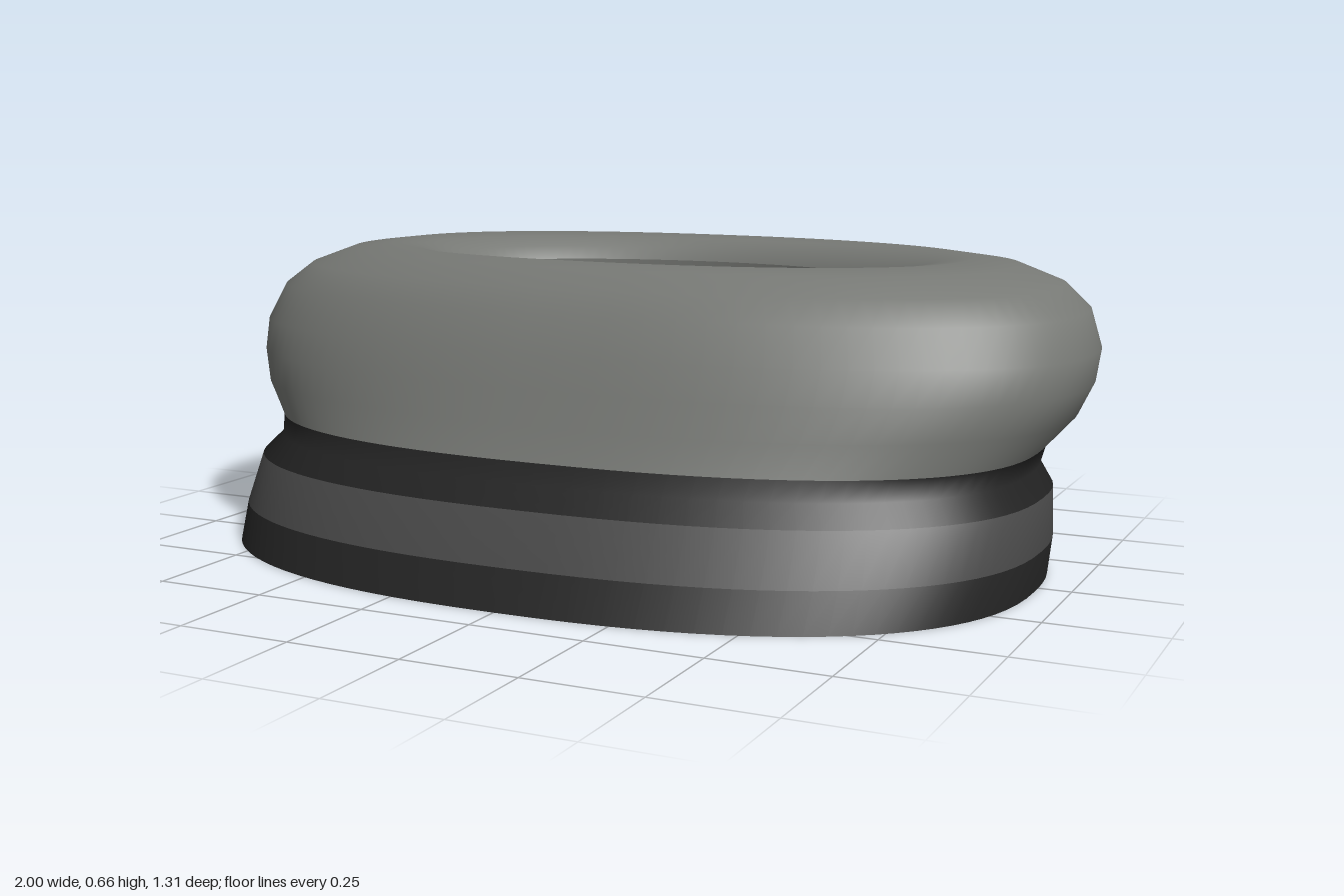
import * as THREE from 'three';

const SEGMENTS = 96;

// Lofts rings [y, halfWidth, zFront, zBack, exponent] of superellipses.
// bands lists the material index used between each pair of rings.
function loft(name, rings, materials, bands) {
  const positions = [], indices = [];
  for (const [y, halfWidth, zFront, zBack, exponent] of rings) {
    const zMid = (zFront + zBack) / 2, halfDepth = (zFront - zBack) / 2;
    for (let s = 0; s < SEGMENTS; s++) {
      const t = (s / SEGMENTS) * Math.PI * 2;
      const c = Math.cos(t), d = Math.sin(t);
      positions.push(
        halfWidth * Math.sign(c) * Math.abs(c) ** (2 / exponent), y,
        zMid + halfDepth * Math.sign(d) * Math.abs(d) ** (2 / exponent));
    }
  }
  const geometry = new THREE.BufferGeometry();
  for (let r = 0; r < rings.length - 1; r++) {
    geometry.addGroup(indices.length, SEGMENTS * 6, bands ? bands[r] : 0);
    for (let s = 0; s < SEGMENTS; s++) {
      const a = r * SEGMENTS + s, b = r * SEGMENTS + (s + 1) % SEGMENTS;
      indices.push(a, a + SEGMENTS, b, b, a + SEGMENTS, b + SEGMENTS);
    }
  }
  geometry.setAttribute('position', new THREE.Float32BufferAttribute(positions, 3));
  geometry.setIndex(indices);
  geometry.computeVertexNormals();
  const mesh = new THREE.Mesh(geometry, materials);
  mesh.name = name;
  return mesh;
}

function material(name, color) {
  const m = new THREE.MeshStandardMaterial({ color });
  m.name = name;
  return m;
}

export function createModel() {
  const group = new THREE.Group();
  group.name = 'buttonHousing';

  const black = material('black rubber', 0x242424);
  const charcoal = material('charcoal band', 0x484848);
  const grey = material('grey shell', 0x777975);
  const greens = [
    material('deep green', 0x0c6410),
    material('dark green', 0x0f8212),
    material('mid green', 0x13a013),
    material('bright green', 0x28cc4c),
  ];

  // Leaning base bands, groove, bulging shell and rounded rim
  const body = [
    [0.00, 0.93, 0.655, -0.60, 2.4],
    [0.08, 0.935, 0.61, -0.605, 2.4],
    [0.185, 0.925, 0.545, -0.61, 2.4],
    [0.228, 0.89, 0.50, -0.617, 2.4],
    [0.27, 0.90, 0.475, -0.62, 2.4],
    [0.34, 0.962, 0.443, -0.628, 2.4],
    [0.41, 0.993, 0.413, -0.64, 2.4],
    [0.48, 1.00, 0.382, -0.65, 2.4],
    [0.56, 0.97, 0.337, -0.655, 2.4],
    [0.61, 0.91, 0.29, -0.648, 2.4],
    [0.648, 0.81, 0.235, -0.61, 2.3],
    [0.66, 0.71, 0.20, -0.57, 2.2],
    [0.652, 0.64, 0.17, -0.535, 2.1],
    [0.63, 0.585, 0.148, -0.505, 2],
    [0.60, 0.55, 0.138, -0.49, 2],
  ];
  group.add(loft('body', body, [black, charcoal, grey],
    body.slice(1).map((_, i) => [0, 1, 0, 0][i] ?? 2)));

  // Flat underside
  group.add(loft('underside', [[0, 0.001, 0.03, 0.028, 2.4], body[0]], black));

  // Recess around the button
  const lip = body[body.length - 1];
  const floorEdge = [0.42, 0.55, 0.145, -0.49, 2];
  group.add(loft('recessWall', [lip, floorEdge], grey));
  group.add(loft('recessFloor', [floorEdge, [0.42, 0.40, 0.08, -0.40, 2]], black));

  // Domed button in concentric green bands, leaning backward
  const dome = [
    [0.42, 0.475, 0.14, -0.467, 2],
    [0.455, 0.455, 0.115, -0.47, 2],
    [0.49, 0.42, 0.075, -0.468, 2],
    [0.53, 0.34, 0.00, -0.45, 2],
    [0.562, 0.235, -0.07, -0.415, 2],
    [0.577, 0.12, -0.155, -0.335, 2],
    [0.582, 0.001, -0.245, -0.247, 2],
  ];
  group.add(loft('button', dome, greens, [0, 0, 1, 2, 3, 3]));

  return group;
}
